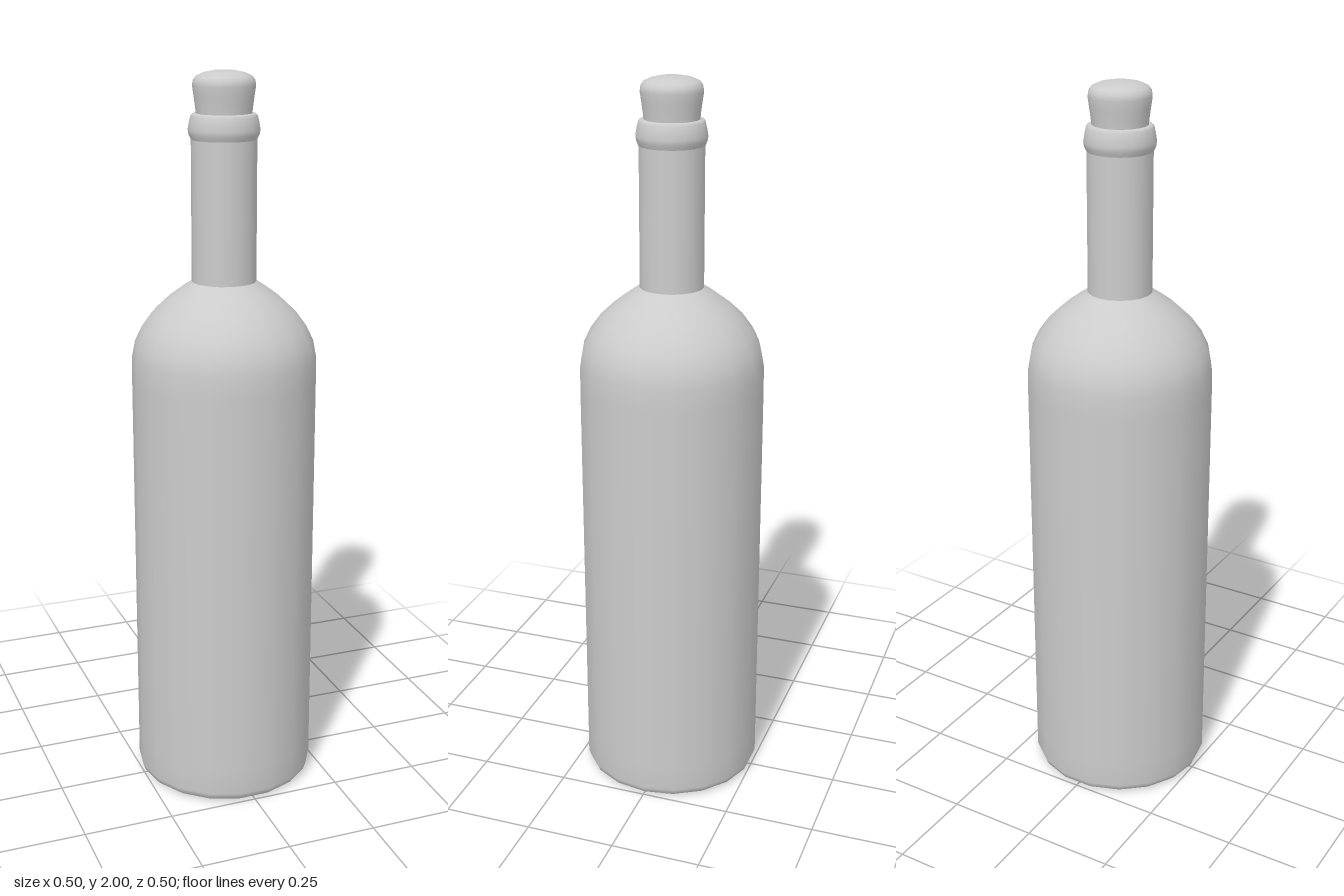
import * as THREE from 'three';

const SIDES = 18;

export function createModel() {
  const model = new THREE.Group();
  model.name = 'bottle';
  const material = new THREE.MeshStandardMaterial({ color: 0xcccccc });

  // Revolves a bottom-to-top [radius, height] profile, with a corner on the x axis
  function turned(name, profile) {
    const points = profile.map(([r, y]) => new THREE.Vector2(r, y));
    const geometry = new THREE.LatheGeometry(points, SIDES, Math.PI / 2);
    const mesh = new THREE.Mesh(geometry, material);
    mesh.name = name;
    model.add(mesh);
  }

  // Flat underside
  turned('base', [[0, 0], [0.235, 0]]);

  // Straight body with a bevelled foot and rounded shoulder
  turned('body', [
    [0.235, 0], [0.246, 0.008], [0.2525, 0.025], [0.2525, 0.1], [0.2525, 1.18],
    [0.2515, 1.24], [0.243, 1.285], [0.224, 1.325], [0.195, 1.365],
    [0.158, 1.4], [0.12, 1.428], [0.087, 1.45],
  ]);

  // Neck
  turned('neck', [[0.087, 1.45], [0.087, 1.83]]);

  // Raised lip around the mouth
  turned('lip', [
    [0.087, 1.825], [0.093, 1.838], [0.095, 1.85], [0.092, 1.868],
    [0.088, 1.885], [0.083, 1.891], [0.07, 1.892],
  ]);

  // Flared stopper with a domed top
  turned('stopper', [
    [0.073, 1.885], [0.075, 1.905], [0.079, 1.935], [0.083, 1.962],
    [0.081, 1.975], [0.073, 1.986], [0.055, 1.994], [0.03, 1.999], [0, 2],
  ]);

  return model;
}
